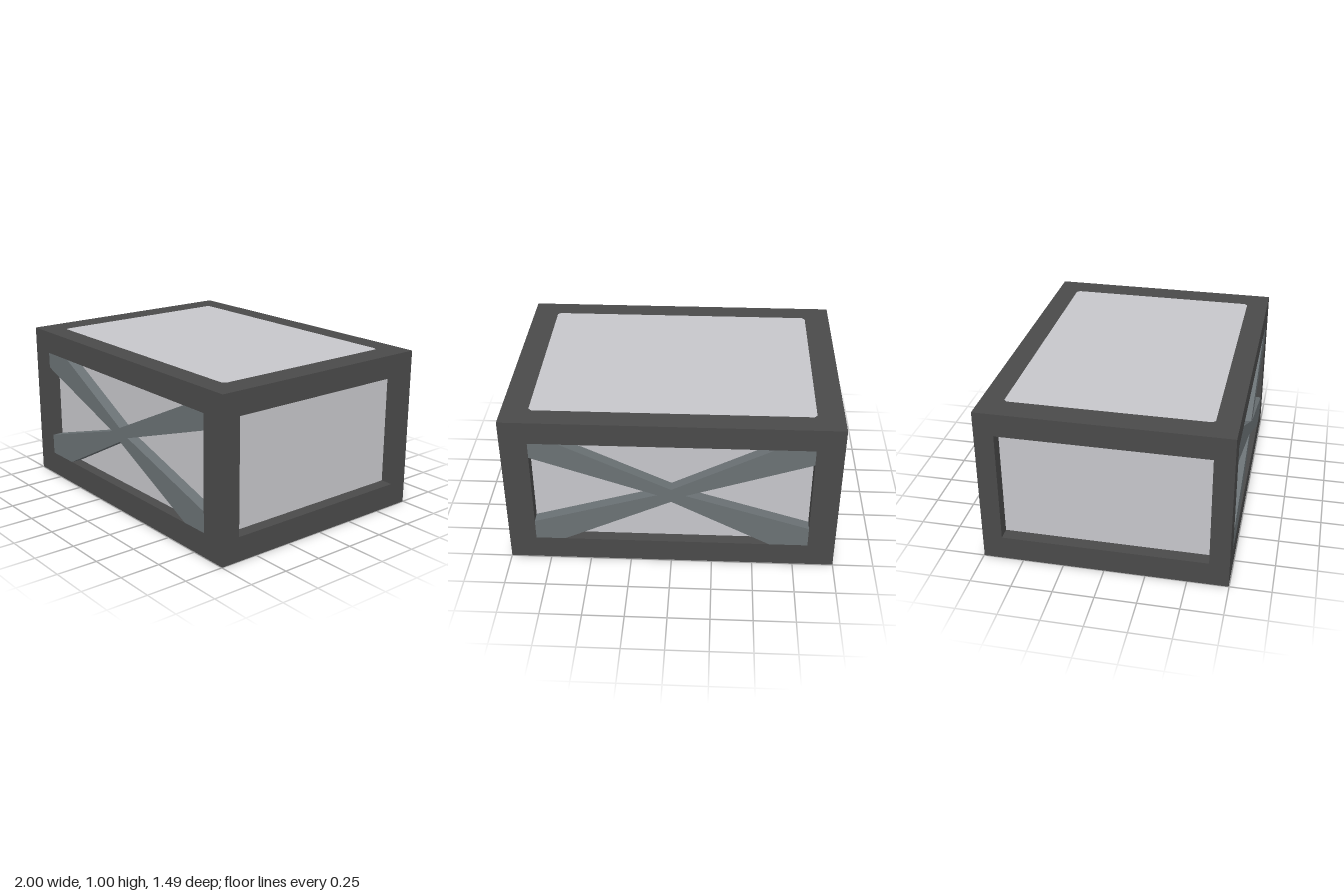
import * as THREE from 'three';

const W = 2, H = 1, D = 1.494;            // overall size
const FRONT_T = 0.07, SIDE_T = 0.08, LID_T = 0.1; // frame thicknesses
const Y0 = 0.15, Y1 = 0.857;              // window bottom and top

const material = (name, color) => Object.assign(new THREE.MeshStandardMaterial({ color }), { name });

const points = (list) => list.map(([x, y]) => new THREE.Vector2(x, y));
const rect = (x0, y0, x1, y1) => points([[x0, y0], [x1, y0], [x1, y1], [x0, y1]]);

// Flat plate from an outline, with an optional hole, from z = -depth to z = 0
function plate(outline, depth, hole) {
  const shape = new THREE.Shape(outline);
  if (hole) shape.holes.push(new THREE.Path(hole));
  return new THREE.ExtrudeGeometry(shape, { depth, bevelEnabled: false }).translate(0, 0, -depth);
}

export function createModel() {
  const frame = material('dark frame', 0x4a4a4a);
  const panel = material('light panel', 0xc6c6ca);
  const brace = material('brace grey', 0x6a7174);

  const crate = new THREE.Group();
  crate.name = 'crate';
  const add = (name, geometry, mat) => {
    const mesh = new THREE.Mesh(geometry, mat);
    mesh.name = name;
    crate.add(mesh);
    return mesh;
  };

  const ix = W / 2 - SIDE_T, iz = D / 2 - FRONT_T; // inner half sizes

  // Recessed panels are the faces of one inner box
  add('innerPanels', new THREE.BoxGeometry(2 * ix, H - 2 * LID_T, 2 * iz).translate(0, H / 2, 0), panel);

  // Cross brace, wide at the corners and narrow in the middle
  const cross = points([
    [-0.835, Y0], [-0.6, Y0], [0, 0.46], [0.655, Y0], [0.835, Y0], [0.835, 0.28],
    [0.085, 0.507], [0.835, 0.757], [0.835, Y1], [0.655, Y1], [0, 0.55], [-0.6, Y1],
    [-0.835, Y1], [-0.835, 0.757], [-0.085, 0.507], [-0.835, 0.28],
  ]);

  // Front and back: frame with cross brace (back outline is mirrored in x before turning)
  for (const [side, s] of [['front', 1], ['back', -1]]) {
    const outline = cross.map((p) => new THREE.Vector2(p.x * s, p.y));
    const parts = [
      add(side + 'Frame', plate(rect(-W / 2, 0, W / 2, H), FRONT_T, rect(-0.835, Y0, 0.835, Y1)), frame),
      add(side + 'CrossBrace', plate(outline, FRONT_T), brace),
    ];
    for (const part of parts) {
      part.position.z = s * D / 2;
      part.rotation.y = s > 0 ? 0 : Math.PI;
    }
  }

  // Left and right: open frames between the front and back ones
  for (const [side, s] of [['left', 1], ['right', -1]]) {
    const part = add(side + 'Frame', plate(rect(-iz, 0, iz, H), SIDE_T, rect(-0.627, Y0, 0.627, Y1)), frame);
    part.position.x = s * W / 2;
    part.rotation.y = s * Math.PI / 2;
  }

  // Top and bottom: frame with a flush panel whose corners are cut
  const px = 0.84, pz = 0.61, c = 0.018;
  const cut = points([
    [-px + c, -pz], [px - c, -pz], [px, -pz + c], [px, pz - c],
    [px - c, pz], [-px + c, pz], [-px, pz - c], [-px, -pz + c],
  ]);
  for (const [side, s] of [['top', 1], ['bottom', -1]]) {
    const parts = [
      add(side + 'Frame', plate(rect(-ix, -iz, ix, iz), LID_T, cut), frame),
      add(side + 'Panel', plate(cut, LID_T), panel),
    ];
    for (const part of parts) {
      part.position.y = s > 0 ? H : 0;
      part.rotation.x = -s * Math.PI / 2;
    }
  }

  return crate;
}
